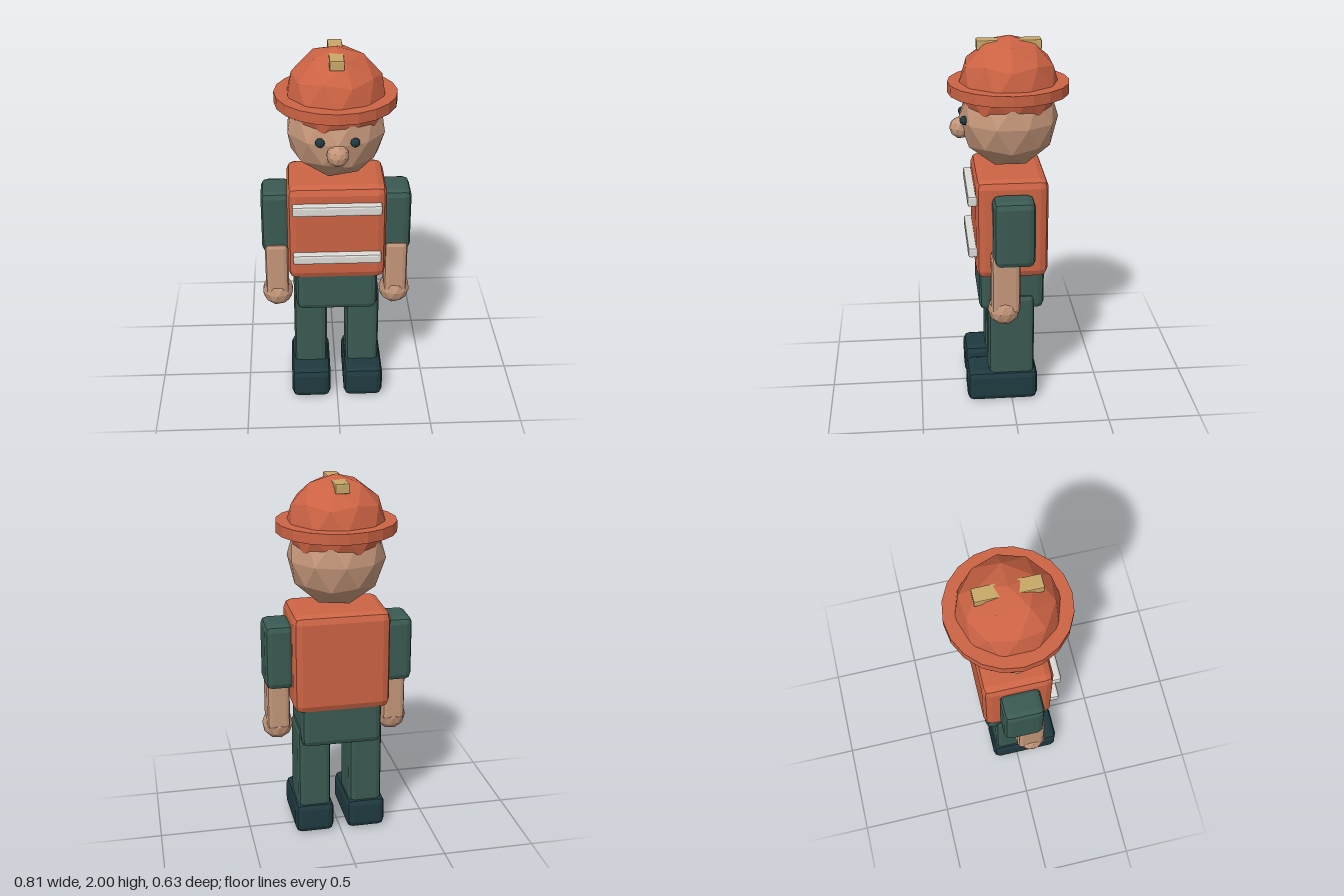
import * as THREE from 'three';
import { RoundedBoxGeometry } from 'three/addons/geometries/RoundedBoxGeometry.js';

const mat = (color) => new THREE.MeshStandardMaterial({ color, flatShading: true });

export function createModel() {
  const model = new THREE.Group();
  model.name = 'constructionWorker';

  const orange = mat(0xcc6344);
  const green = mat(0x3a5a52);
  const navy = mat(0x1f3a40);
  const skin = mat(0xc4967a);
  const white = mat(0xdcdad6);
  const yellow = mat(0xc8a868);

  const add = (name, geometry, material, x, y, z) => {
    const mesh = new THREE.Mesh(geometry, material);
    mesh.name = name;
    mesh.position.set(x, y, z);
    model.add(mesh);
    return mesh;
  };

  // Box with bevelled edges, given by its extents on each axis
  const box = (name, material, [x0, x1], [y0, y1], [z0, z1], bevel) =>
    add(name, new RoundedBoxGeometry(x1 - x0, y1 - y0, z1 - z0, 1, bevel), material,
      (x0 + x1) / 2, (y0 + y1) / 2, (z0 + z1) / 2);

  // Faceted ball with a corner at each pole
  const ball = (name, material, r, x, y, z) => {
    const g = new THREE.IcosahedronGeometry(r, 1);
    g.rotateZ(-Math.atan(2 / (1 + Math.sqrt(5))));
    return add(name, g, material, x, y, z);
  };

  // Torso, reflective stripes and hips
  box('vest', orange, [-0.262, 0.262], [0.75, 1.3], [-0.19, 0.19], 0.045);
  box('upperStripe', white, [-0.235, 0.235], [1.157, 1.215], [0.18, 0.232], 0.012);
  box('lowerStripe', white, [-0.235, 0.235], [0.87, 0.925], [0.18, 0.232], 0.012);
  box('hips', green, [-0.22, 0.22], [0.545, 0.85], [-0.175, 0.175], 0.035);

  // Limbs, mirrored
  for (const [side, s] of [['left', 1], ['right', -1]]) {
    const span = (a, b) => (s > 0 ? [a, b] : [-b, -a]);
    box(side + 'Sleeve', green, span(0.24, 0.4), [0.87, 1.232], [-0.108, 0.108], 0.035);
    box(side + 'Forearm', skin, span(0.26, 0.386), [0.6, 0.93], [-0.03, 0.12], 0.025);
    ball(side + 'Hand', skin, 0.086, s * 0.322, 0.612, 0.052);
    box(side + 'Leg', green, span(0.053, 0.235), [0.14, 0.637], [-0.122, 0.127], 0.03);
    box(side + 'Boot', navy, span(0.037, 0.254), [0, 0.178], [-0.141, 0.246], 0.035);
    ball(side + 'Eye', navy, 0.025, s * 0.088, 1.58, 0.235);
  }

  // Head and nose
  ball('head', skin, 0.262, 0, 1.567, 0);
  ball('nose', skin, 0.058, 0, 1.517, 0.252);

  // Hard hat: dome, brim and ridge poking out front and back
  ball('helmetDome', orange, 0.264, 0, 1.736, 0);
  add('helmetBrim', new THREE.CylinderGeometry(0.317, 0.317, 0.057, 20), orange, 0, 1.736, 0);
  box('helmetRidge', yellow, [-0.037, 0.037], [1.93, 1.981], [-0.168, 0.166], 0.006);

  return model;
}
